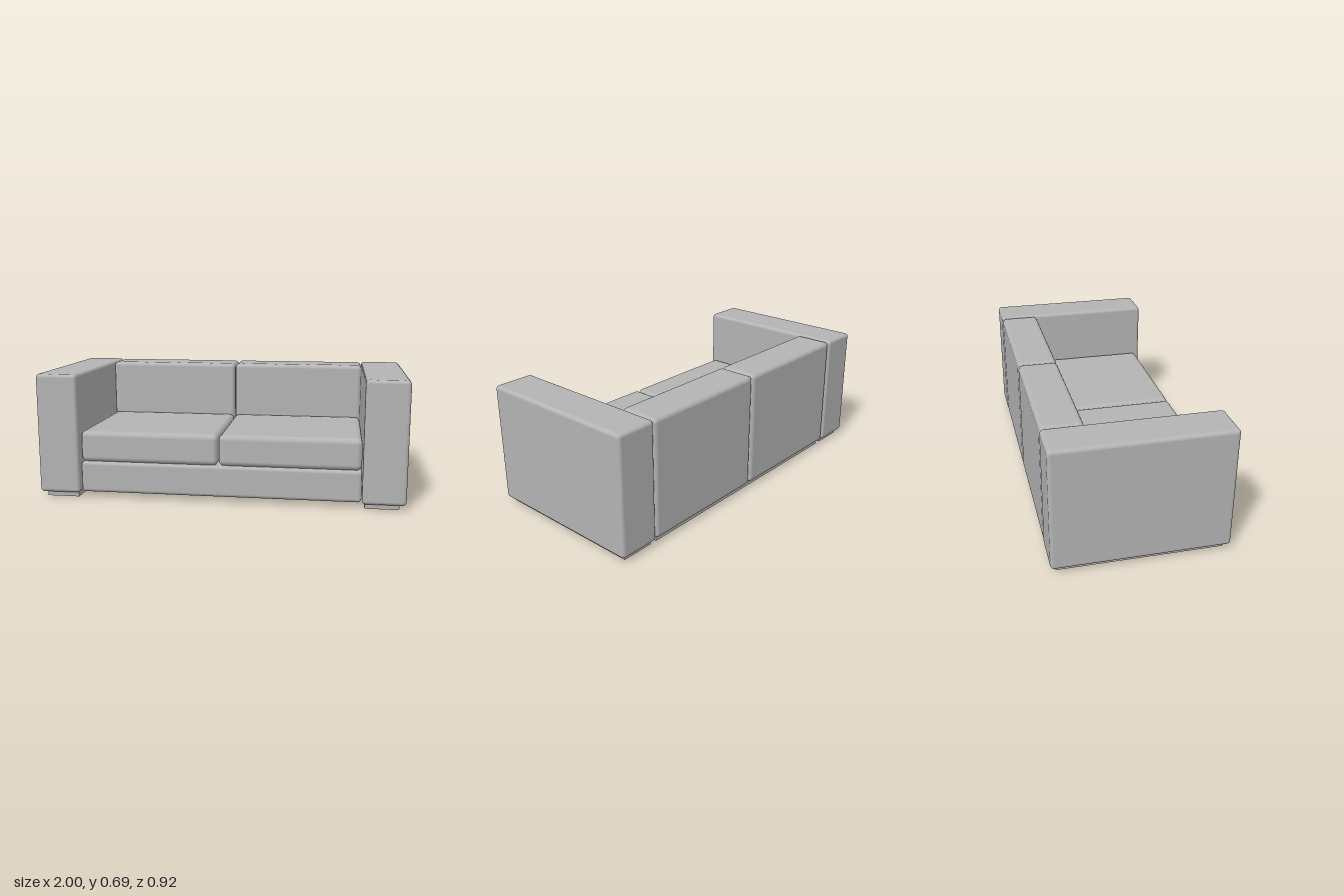
import * as THREE from 'three';
import { RoundedBoxGeometry } from 'three/addons/geometries/RoundedBoxGeometry.js';

export function createModel() {
  const sofa = new THREE.Group();
  sofa.name = 'sofa';
  const fabric = new THREE.MeshStandardMaterial({ color: 0xb4b4b4 });
  fabric.name = 'grey fabric';
  const plinthMat = new THREE.MeshStandardMaterial({ color: 0xb4b0b2 });
  plinthMat.name = 'grey plinth';

  // Box spanning [min, max] on each axis, with optional rounded edges
  function block(name, [x0, x1], [y0, y1], [z0, z1], radius, material) {
    const size = [x1 - x0, y1 - y0, z1 - z0];
    const geometry = radius
      ? new RoundedBoxGeometry(...size, 3, radius)
      : new THREE.BoxGeometry(...size);
    const mesh = new THREE.Mesh(geometry, material);
    mesh.name = name;
    mesh.position.set((x0 + x1) / 2, (y0 + y1) / 2, (z0 + z1) / 2);
    sofa.add(mesh);
    return mesh;
  }

  // Mirrored halves: arm, back section, seat cushion and arm plinth
  for (const [side, s] of [['left', 1], ['right', -1]]) {
    const span = (a, b) => (s > 0 ? [a, b] : [-b, -a]);
    block(side + 'Arm', span(0.77, 1), [0.027, 0.687], [-0.462, 0.462], 0.02, fabric);
    block(side + 'Back', span(0.002, 0.768), [0.027, 0.685], [-0.46, -0.24], 0.025, fabric);
    block(side + 'SeatCushion', span(0.002, 0.766), [0.2, 0.372], [-0.25, 0.433], 0.03, fabric);
    block(side + 'ArmPlinth', span(0.785, 0.965), [0, 0.035], [-0.433, 0.433], 0, plinthMat);
  }

  // Seat base across the full width between the arms
  block('seatBase', [-0.768, 0.768], [0.028, 0.202], [-0.25, 0.433], 0.02, fabric);

  // Plinth under the back
  block('backPlinth', [-0.745, 0.745], [0, 0.035], [-0.433, -0.265], 0, plinthMat);

  return sofa;
}
